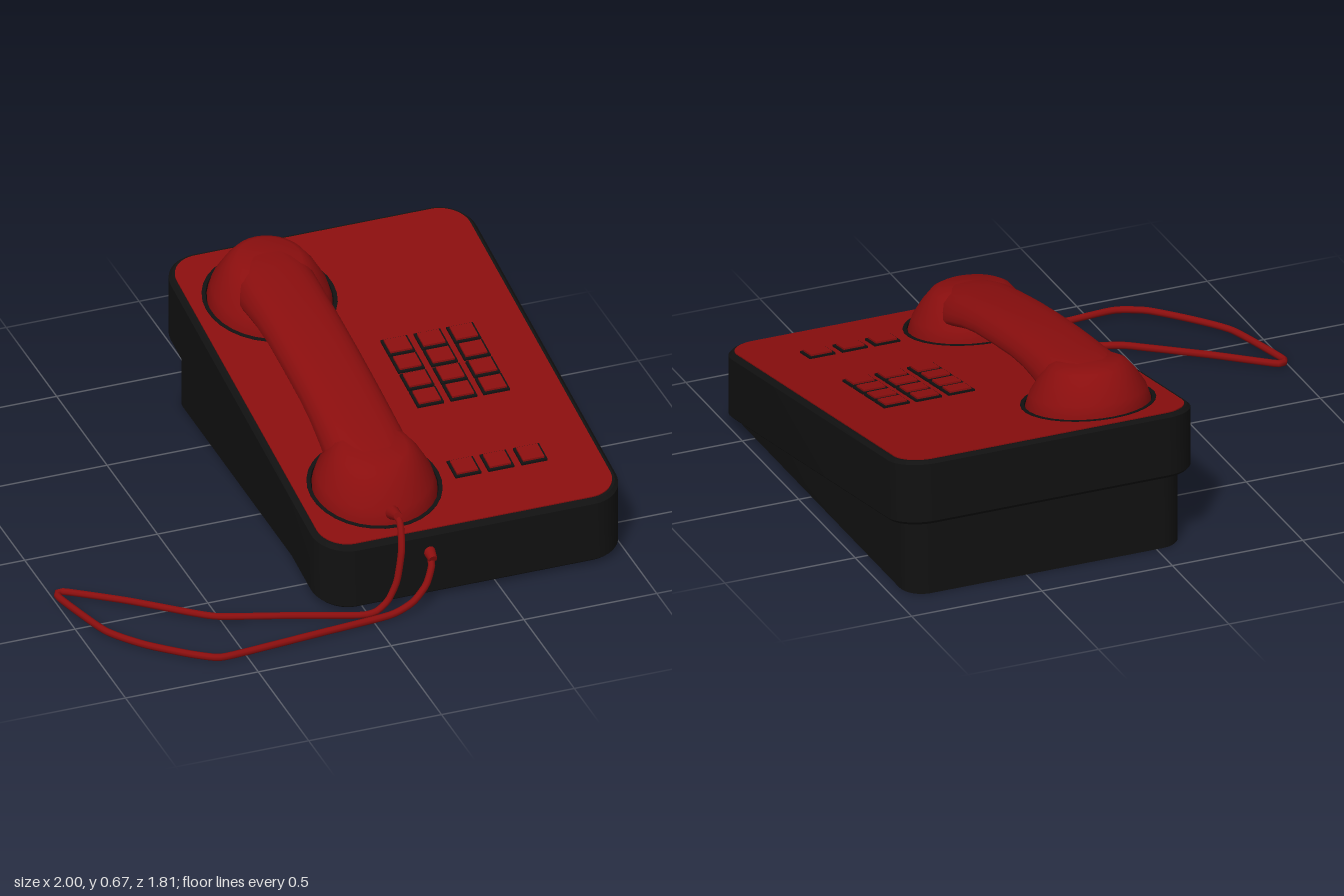
import * as THREE from 'three';
import { toCreasedNormals } from 'three/addons/utils/BufferGeometryUtils.js';

const red = new THREE.MeshStandardMaterial({ color: 0x8a0e0e, side: THREE.DoubleSide });
const black = new THREE.MeshStandardMaterial({ color: 0x111111, side: THREE.DoubleSide });

// Height of the sloping top at a given z
const slope = (z) => 0.26 + (0.74 - z) * 0.173;
const X0 = -0.155, X1 = 0.995, Z0 = -0.905, Z1 = 0.738;
const CUP_X = 0.15, MID_Z = -0.08, CUP_OFF = 0.52, CUP_R = 0.24;

// Move every vertex's height by a rule, then rebuild normals
function remap(geo, rule, crease = 0.6) {
  const p = geo.attributes.position;
  for (let i = 0; i < p.count; i++) p.setY(i, rule(p.getY(i), p.getZ(i)));
  return toCreasedNormals(geo, crease);
}
const onSlope = (geo, crease) => remap(geo, (y, z) => y + slope(z), crease);

// Rounded outline of the case, inset by d; drawn with shape y = -z
function outline(d, Type = THREE.Shape) {
  const r = Math.max(0.13 - d, 0.05);
  const a = X0 + d, b = X1 - d, lo = -Z1 + d, hi = -Z0 - d;
  const s = new Type();
  s.moveTo(a + r, lo);
  s.lineTo(b - r, lo);
  s.absarc(b - r, lo + r, r, -Math.PI / 2, 0);
  s.lineTo(b, hi - r);
  s.absarc(b - r, hi - r, r, 0, Math.PI / 2);
  s.lineTo(a + r, hi);
  s.absarc(a + r, hi - r, r, Math.PI / 2, Math.PI);
  s.lineTo(a, lo + r);
  s.absarc(a + r, lo + r, r, Math.PI, Math.PI * 1.5);
  return s;
}

function extrudeUp(shape, depth, bevel = 0) {
  return new THREE.ExtrudeGeometry(shape, {
    depth, curveSegments: 5, bevelEnabled: bevel > 0, bevelSize: bevel,
    bevelThickness: bevel, bevelOffset: -bevel, bevelSegments: 1,
  }).rotateX(-Math.PI / 2);
}

// Handle: rounded sections swept along z, [offset, top, bottom, half width]
function handleGeometry() {
  const half = [
    [0, 0.196, 0.086, 0.138], [0.16, 0.194, 0.084, 0.138], [0.27, 0.189, 0.074, 0.14],
    [0.37, 0.183, 0.055, 0.144], [0.46, 0.177, 0.03, 0.148], [0.54, 0.168, 0.02, 0.135],
    [0.61, 0.152, 0.02, 0.09],
  ];
  const rows = [...half.slice(1).reverse().map(([u, ...r]) => [-u, ...r]), ...half];
  const N = 24, pos = [], idx = [];
  const pow = (v) => Math.sign(v) * Math.abs(v) ** 0.65;
  rows.forEach(([u, top, bottom, w], i) => {
    for (let j = 0; j < N; j++) {
      const t = (j / N) * Math.PI * 2, s = pow(Math.sin(t));
      pos.push(CUP_X + pow(Math.cos(t)) * w * (1 - 0.17 * s),
        (top + bottom) / 2 + s * (top - bottom) / 2, MID_Z + u);
      if (i === rows.length - 1) continue;
      const a = i * N + j, b = i * N + (j + 1) % N;
      idx.push(a, b, a + N, b, b + N, a + N);
    }
  });
  const g = new THREE.BufferGeometry();
  g.setAttribute('position', new THREE.Float32BufferAttribute(pos, 3));
  g.setIndex(idx);
  return g;
}

export function createModel() {
  const model = new THREE.Group();
  const add = (name, geo, mat, parent = model) => {
    const m = new THREE.Mesh(geo, mat);
    m.name = name;
    parent.add(m);
    return m;
  };
  const group = (name) => {
    const g = new THREE.Group();
    g.name = name;
    model.add(g);
    return g;
  };

  // Upper case wall, following the slope
  const wall = outline(0);
  wall.holes.push(outline(0.07, THREE.Path));
  const wallGeo = extrudeUp(wall, 0.226, 0.012).translate(0, -0.238, 0);
  add('caseWall', onSlope(wallGeo), black);

  // Inset skirt, flat on the ground and cut to the slope above
  const skirt = outline(0.045);
  skirt.holes.push(outline(0.07, THREE.Path));
  add('baseSkirt', remap(extrudeUp(skirt, 1), (y, z) => y * (slope(z) - 0.24)), black);

  // Top plate with two round openings
  const plate = outline(0.022);
  for (const s of [-1, 1]) {
    const hole = new THREE.Path();
    hole.absellipse(CUP_X, -(MID_Z + s * CUP_OFF), CUP_R - 0.008, CUP_R - 0.008, 0, Math.PI * 2);
    plate.holes.push(hole);
  }
  const plateGeo = new THREE.ExtrudeGeometry(plate, { depth: 0.018, curveSegments: 16, bevelEnabled: false })
    .rotateX(-Math.PI / 2).translate(0, -0.014, 0);
  add('topPlate', onSlope(plateGeo), red);

  // Cups for the two ends of the handset
  const cups = group('cups');
  for (const s of [-1, 1]) {
    const profile = [[0, -0.18], [CUP_R, -0.18], [CUP_R, 0.006], [CUP_R - 0.014, 0.006],
      [CUP_R - 0.014, -0.165], [0, -0.165]].map((p) => new THREE.Vector2(...p));
    const geo = new THREE.LatheGeometry(profile, 32).translate(CUP_X, 0, MID_Z + s * CUP_OFF);
    add('cup', onSlope(geo), black, cups);
  }

  // Handset: handle and two bells
  const handset = group('handset');
  add('handle', onSlope(handleGeometry(), 0.9), red, handset);
  for (const s of [-1, 1]) {
    const profile = [[0, -0.05], [0.2, -0.05], [0.22, -0.03], [0.222, 0.005], [0.208, 0.05],
      [0.172, 0.11], [0.14, 0.15], [0.115, 0.163], [0, 0.167]].map((p) => new THREE.Vector2(...p));
    const geo = new THREE.LatheGeometry(profile, 32).translate(CUP_X, 0, MID_Z + s * CUP_OFF);
    add('bell', onSlope(geo, 0.9), red, handset);
  }

  // Keys: red caps in dark surrounds
  const keys = group('keys');
  const addKey = (x, z, w, d) => {
    const surround = new THREE.BoxGeometry(w, 0.06, d).translate(x, -0.019, z);
    add('keySurround', onSlope(surround), black, keys);
    const cap = new THREE.BoxGeometry(w - 0.018, 0.03, d - 0.018).translate(x, 0.003, z);
    add('keyCap', onSlope(cap), red, keys);
  };
  for (const z of [-0.223, -0.13, -0.033, 0.061])
    for (const x of [0.49, 0.615, 0.738]) addKey(x, z, 0.1, 0.086);
  for (const x of [0.484, 0.608, 0.733]) addKey(x, 0.449, 0.098, 0.088);

  // Cord from the handset, looping over the ground and back to the case
  const path = [
    [0.135, 0.34, 0.66], [0.138, 0.32, 0.725], [0.125, 0.24, 0.775], [0.1, 0.13, 0.795],
    [0.065, 0.06, 0.8], [0.02, 0.025, 0.802], [-0.04, 0.018, 0.795], [-0.27, 0.018, 0.71],
    [-0.5, 0.018, 0.63], [-0.58, 0.018, 0.575], [-0.77, 0.022, 0.42], [-0.945, 0.018, 0.283],
    [-0.975, 0.018, 0.272], [-0.987, 0.018, 0.31], [-0.915, 0.018, 0.575], [-0.82, 0.018, 0.71],
    [-0.7, 0.022, 0.83], [-0.61, 0.018, 0.885], [-0.53, 0.018, 0.887], [-0.2, 0.018, 0.857],
    [0.06, 0.018, 0.832], [0.15, 0.045, 0.82], [0.21, 0.09, 0.795], [0.24, 0.15, 0.77], [0.245, 0.19, 0.725],
  ].map((p) => new THREE.Vector3(...p));
  const curve = new THREE.CatmullRomCurve3(path, false, 'catmullrom', 0.3);
  add('cord', new THREE.TubeGeometry(curve, 160, 0.013, 8), red);

  // Strain reliefs where the cord enters
  const reliefs = group('strainReliefs');
  for (const [x, y, z, tilt] of [[0.135, 0.333, 0.685, 1.3], [0.245, 0.182, 0.742, 1.9]]) {
    const r = add('strainRelief', new THREE.CylinderGeometry(0.016, 0.026, 0.06, 12), red, reliefs);
    r.position.set(x, y, z);
    r.rotation.x = tilt;
  }
  return model;
}
